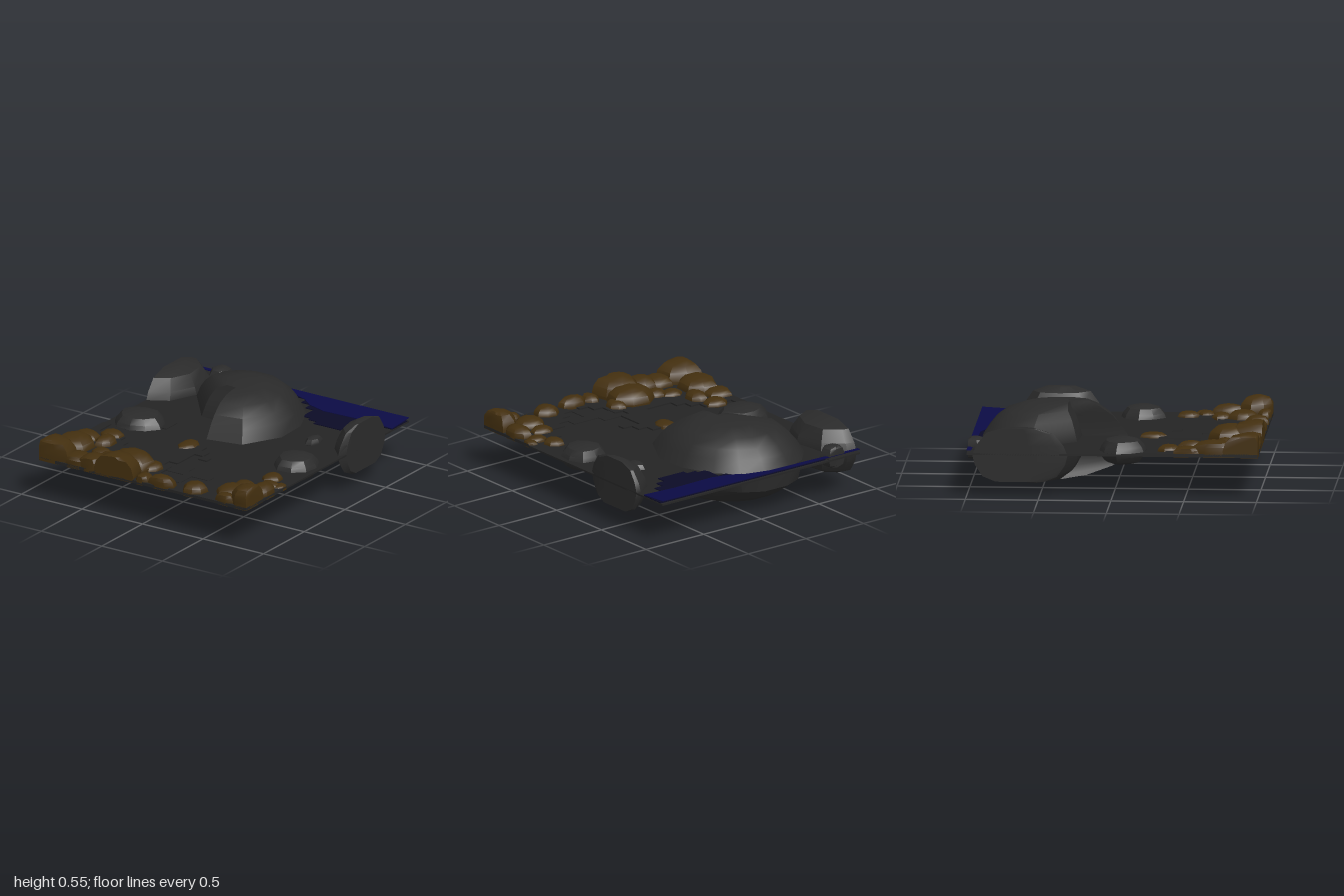
import * as THREE from 'three';
import { toCreasedNormals } from 'three/addons/utils/BufferGeometryUtils.js';

const HALF_X = 0.857, HALF_Z = 1;
const clamp = THREE.MathUtils.clamp;

const mat = (name, color) => {
  const m = new THREE.MeshStandardMaterial({ color });
  m.name = name;
  return m;
};

// Stacked copies of an outline, closed at both ends and cut off at the tile's edges.
// Each ring is [y, scaleX, scaleZ, shiftX, shiftZ].
function ringRock(outline, cx, cz, rings, crease = 0.5) {
  const n = outline.length, pos = [], index = [];
  const put = (x, y, z) => pos.push(clamp(x, -HALF_X, HALF_X), y, clamp(z, -HALF_Z, HALF_Z));
  for (const [y, sx, sz, dx = 0, dz = 0] of rings) {
    for (const [x, z] of outline) put(cx + dx + x * sx, y, cz + dz + z * sz);
  }
  const last = rings.length - 1;
  for (const r of [0, last]) put(cx + (rings[r][3] || 0), rings[r][0], cz + (rings[r][4] || 0));
  const bottom = n * rings.length, top = bottom + 1;
  for (let i = 0; i < n; i++) {
    const j = (i + 1) % n;
    index.push(bottom, i, j, top, last * n + j, last * n + i);
    for (let r = 0; r < last; r++) {
      const b = r * n, t = b + n;
      index.push(b + i, t + i, b + j, t + i, t + j, b + j);
    }
  }
  const g = new THREE.BufferGeometry();
  g.setAttribute('position', new THREE.Float32BufferAttribute(pos, 3));
  g.setIndex(index);
  return toCreasedNormals(g, crease);
}

// Slightly uneven many-sided outline of radius one
function roundOutline(n, turn, uneven = 0.05) {
  return Array.from({ length: n }, (_, i) => {
    const a = turn + (i / n) * Math.PI * 2;
    const r = 1 + uneven * Math.sin(i * 2.4 + turn * 7);
    return [Math.cos(a) * r, Math.sin(a) * r];
  });
}

// Flat plate with its outline in x and z
function plate(points, top, depth) {
  const shape = new THREE.Shape(points.map(([x, z]) => new THREE.Vector2(x, z)));
  const g = new THREE.ExtrudeGeometry(shape, { depth, bevelEnabled: false });
  return g.rotateX(Math.PI / 2).translate(0, top, 0);
}

export function createModel() {
  const model = new THREE.Group();
  model.name = 'rockyShore';
  const ground = mat('ground grey', 0x242424);
  const stone = mat('stone grey', 0x2a2a2a);
  const earth = mat('earth brown', 0x432f0f);
  const deep = mat('deep water', 0x0b0b26);
  const water = mat('water blue', 0x0b0b44);
  const add = (name, geometry, material) => {
    const m = new THREE.Mesh(geometry, material);
    m.name = name;
    model.add(m);
    return m;
  };

  // Ground sheet and its low stepped terraces
  add('ground', new THREE.BoxGeometry(HALF_X * 2, 0.012, 2).translate(0, 0.291, 0), ground);
  add('leftTerrace', plate([
    [-0.857, 0.21], [-0.79, 0.21], [-0.79, 0.36], [-0.57, 0.36], [-0.57, 0.43], [-0.5, 0.43],
    [-0.5, 0.5], [-0.43, 0.5], [-0.43, 0.57], [-0.22, 0.57], [-0.22, 0.28], [-0.08, 0.28],
    [-0.08, 0.21], [0, 0.21], [0, 0.28], [0.07, 0.28], [0.07, 0.36], [0.14, 0.36], [0.14, 0.42],
    [0.07, 0.42], [0.07, 0.36], [0, 0.36], [0, 0.57], [-0.07, 0.57], [-0.07, 0.64], [0, 0.64],
    [0, 0.78], [0.07, 0.78], [0.07, 0.85], [0.14, 0.85], [0.14, 1], [-0.857, 1],
  ], 0.307, 0.012), ground);
  add('rightTerrace', plate([
    [0.857, 0.5], [0.57, 0.5], [0.57, 0.64], [0.43, 0.64], [0.43, 0.71], [0.35, 0.71],
    [0.35, 0.78], [0.28, 0.78], [0.28, 0.85], [0.21, 0.85], [0.21, 1], [0.857, 1],
  ], 0.305, 0.01), ground);
  add('terraceStep', plate([
    [0, 0.57], [0.14, 0.57], [0.14, 0.64], [0.35, 0.64], [0.35, 0.71], [0.21, 0.71],
    [0.21, 0.85], [0.14, 0.85], [0.14, 0.71], [0, 0.71],
  ], 0.302, 0.007), ground);
  add('midStep', plate([[-0.57, -0.07], [-0.43, -0.07], [-0.43, 0.07], [-0.57, 0.07]], 0.303, 0.008), ground);

  // Pool with a stepped shore
  add('poolWater', plate([
    [-0.57, -0.98], [-0.57, -0.93], [0.06, -0.93], [0.06, -0.86], [0.14, -0.86], [0.14, -0.79],
    [0.21, -0.79], [0.21, -0.65], [0.28, -0.65], [0.28, -0.62], [0.35, -0.62], [0.35, -0.58],
    [0.57, -0.58], [0.57, -0.65], [0.64, -0.65], [0.64, -0.72], [0.71, -0.72], [0.71, -0.79],
    [0.857, -0.79], [0.857, -0.98],
  ], 0.304, 0.006), deep);

  // Brighter water rising gently to the back edge
  const sheet = plate([
    [-0.857, -1], [-0.857, -0.97], [-0.1, -0.95], [0.06, -0.9], [0.14, -0.84], [0.28, -0.8],
    [0.6, -0.81], [0.857, -0.79], [0.857, -1],
  ], 0.308, 0.004);
  const p = sheet.attributes.position;
  for (let i = 0; i < p.count; i++) p.setY(i, p.getY(i) + 0.06 * (-0.79 - p.getZ(i)));
  sheet.computeVertexNormals();
  add('backWater', sheet, water);

  // Great boulder with a notch in its front left side
  const cx = -0.15, cz = -0.45;
  const notched = [
    [0.31, -0.25], [0.16, 0.02], [-0.1, 0.07], [-0.1, -0.25], [-0.37, -0.27], [-0.62, -0.58],
    [-0.57, -0.75], [-0.45, -0.88], [-0.3, -0.94], [-0.08, -0.94], [0.07, -0.86], [0.2, -0.72], [0.3, -0.5],
  ].map(([x, z]) => [x - cx, z - cz]);
  add('greatBoulder', ringRock(notched, cx, cz, [
    [0, 0.2, 0.2, -0.02, -0.05], [0.03, 0.66, 0.5, -0.03, -0.03], [0.09, 0.77, 0.78],
    [0.16, 0.9, 0.97], [0.29, 1, 1], [0.38, 0.9, 0.88], [0.44, 0.8, 0.78],
    [0.5, 0.65, 0.62], [0.54, 0.35, 0.42, 0.02, 0.03], [0.55, 0.15, 0.25, 0.03, 0.05],
  ], 0.6), stone);

  // Grey rocks: name, x, z, radius x, radius z, bottom, top, sides, turn
  const greyRocks = [
    ['backLeftRock', -0.857, -0.64, 0.23, 0.34, 0.1, 0.47, 9, 0.15],
    ['backRightRock', 0.86, -0.46, 0.18, 0.28, 0.125, 0.475, 9, 0.35],
    ['backEdgeRock', -0.66, -0.95, 0.09, 0.1, 0.23, 0.38, 7, 0.3],
    ['middleLeftRock', -0.655, 0.06, 0.19, 0.165, 0.21, 0.385, 10, 0.2],
    ['middleRightRock', 0.675, 0.12, 0.16, 0.16, 0.21, 0.38, 9, 0.5],
    ['pebble', 0.54, -0.3, 0.05, 0.085, 0.26, 0.34, 7, 0.1],
  ];
  for (const [name, x, z, rx, rz, y0, y1, n, turn] of greyRocks) {
    const rings = [[0, 0.5], [0.1, 0.78], [0.32, 0.95], [0.5, 1], [0.68, 0.92], [0.9, 0.72], [1, 0.35]]
      .map(([t, s]) => [y0 + (y1 - y0) * t, rx * s, rz * s]);
    add(name, ringRock(roundOutline(n, turn), x, z, rings), stone);
  }

  // Brown mounds resting on the ground: x, z, radius x, radius z, top
  const mounds = [
    [-0.67, 0.38, 0.09, 0.08, 0.34], [-0.62, 0.53, 0.07, 0.1, 0.36], [-0.8, 0.51, 0.11, 0.1, 0.35],
    [-0.77, 0.7, 0.14, 0.17, 0.39], [-0.79, 0.93, 0.17, 0.18, 0.44], [-0.54, 0.7, 0.08, 0.07, 0.34],
    [-0.58, 0.92, 0.13, 0.11, 0.37], [-0.44, 0.75, 0.08, 0.07, 0.35], [-0.45, 0.93, 0.11, 0.12, 0.39],
    [-0.24, 0.78, 0.17, 0.16, 0.41], [-0.25, 0.96, 0.17, 0.2, 0.44], [-0.09, 0.74, 0.07, 0.09, 0.35],
    [-0.13, 0.24, 0.07, 0.1, 0.33], [-0.02, 0.95, 0.06, 0.08, 0.35], [0.13, 0.95, 0.11, 0.07, 0.37],
    [0.38, 0.92, 0.09, 0.09, 0.365], [0.69, 0.43, 0.07, 0.08, 0.335], [0.75, 0.55, 0.08, 0.06, 0.33],
    [0.82, 0.53, 0.05, 0.06, 0.32], [0.62, 0.66, 0.085, 0.07, 0.34], [0.61, 0.81, 0.11, 0.11, 0.36],
    [0.79, 0.7, 0.08, 0.12, 0.37], [0.81, 0.9, 0.13, 0.13, 0.43], [0.66, 0.96, 0.08, 0.06, 0.36],
  ];
  mounds.forEach(([x, z, rx, rz, top], i) => {
    const base = 0.282, h = top - base;
    const rings = [[0, 0.96], [0.3, 1], [0.65, 0.9], [0.9, 0.66], [1, 0.3]]
      .map(([t, s]) => [base + h * t, rx * s, rz * s]);
    add('earthMound' + (i + 1), ringRock(roundOutline(8, 0.39 + 0.1 * Math.sin(i * 3), 0.06), x, z, rings, 0.7), earth);
  });

  return model;
}
